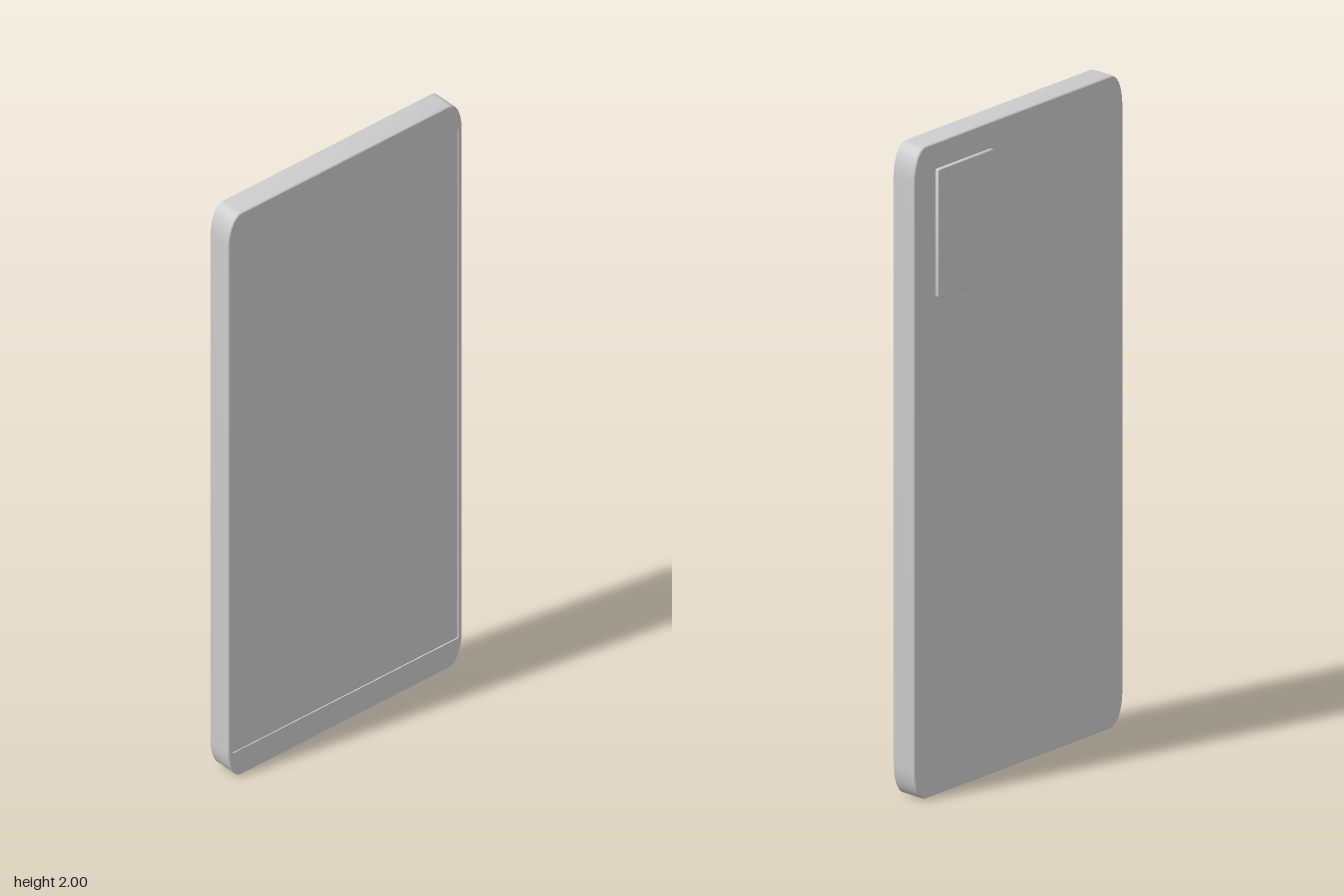
import * as THREE from 'three';
import { toCreasedNormals } from 'three/addons/utils/BufferGeometryUtils.js';

const material = new THREE.MeshStandardMaterial({ color: 0xcccccc });

// Closed counter-clockwise outline with elliptical corners
function outline(x0, x1, y0, y1, rx, ry, steps) {
  const points = [];
  const corners = [[x1 - rx, y0 + ry], [x1 - rx, y1 - ry], [x0 + rx, y1 - ry], [x0 + rx, y0 + ry]];
  corners.forEach(([cx, cy], i) => {
    for (let s = 0; s <= steps; s++) {
      const a = (i - 1 + s / steps) * Math.PI / 2;
      points.push(new THREE.Vector2(cx + rx * Math.cos(a), cy + ry * Math.sin(a)));
    }
  });
  return points;
}

// Wall through rings of { points, z }, facing outwards when z rises
function wall(rings) {
  const n = rings[0].points.length;
  const position = [], index = [];
  for (const { points, z } of rings) for (const p of points) position.push(p.x, p.y, z);
  for (let r = 0; r < rings.length - 1; r++) {
    for (let i = 0; i < n; i++) {
      const a = r * n + i, b = r * n + (i + 1) % n;
      index.push(a, b, b + n, a, b + n, a + n);
    }
  }
  const g = new THREE.BufferGeometry();
  g.setAttribute('position', new THREE.Float32BufferAttribute(position, 3));
  g.setIndex(index);
  return toCreasedNormals(g, Math.PI / 5);
}

// Flat cap at height z, optionally with a hole or turned to the back
function cap(points, z, { hole, back = false } = {}) {
  const shape = new THREE.Shape(points);
  if (hole) shape.holes.push(new THREE.Path(hole));
  const g = new THREE.ShapeGeometry(shape);
  if (back) {
    const ix = g.index;
    for (let i = 0; i < ix.count; i += 3) {
      const t = ix.getX(i);
      ix.setX(i, ix.getX(i + 1));
      ix.setX(i + 1, t);
    }
    g.computeVertexNormals();
  }
  return g.translate(0, 0, z);
}

export function createModel() {
  const model = new THREE.Group();
  const add = (name, geometry, parent = model) => {
    const mesh = new THREE.Mesh(geometry, material);
    mesh.name = name;
    parent.add(mesh);
  };
  const group = (name) => {
    const g = new THREE.Group();
    g.name = name;
    model.add(g);
    return g;
  };

  const back = -0.037, front = 0.046, bevel = 0.003, floor = front - 0.004;
  const side = (d) => outline(-0.445 + d, 0.445 - d, d, 2 - d, 0.05 - d, 0.1 - d, 8);
  const screen = outline(-0.43, 0.43, 0.09, 1.905, 0.003, 0.003, 2);

  // Slab body with a fine bevel round both faces
  const body = group('body');
  add('sideWall', wall([
    { points: side(bevel), z: back },
    { points: side(0), z: back + bevel },
    { points: side(0), z: front - bevel },
    { points: side(bevel), z: front },
  ]), body);
  add('backFace', cap(side(bevel), back, { back: true }), body);
  add('frontBezel', cap(side(bevel), front, { hole: screen }), body);

  // Screen set slightly into the front
  const display = group('screen');
  add('screenRim', wall([{ points: screen, z: front }, { points: screen, z: floor }]), display);
  add('screenGlass', cap(screen, floor), display);

  // Raised camera plate on the back
  const plate = (d) => outline(0.115 + d, 0.355 - d, 1.525 + d, 1.92 - d, 0.005, 0.008, 3);
  const camera = group('cameraPlate');
  add('cameraPlateEdge', wall([
    { points: plate(0.002), z: -0.049 },
    { points: plate(0), z: -0.047 },
    { points: plate(0), z: back },
  ]), camera);
  add('cameraPlateFace', cap(plate(0.002), -0.049, { back: true }), camera);

  return model;
}
